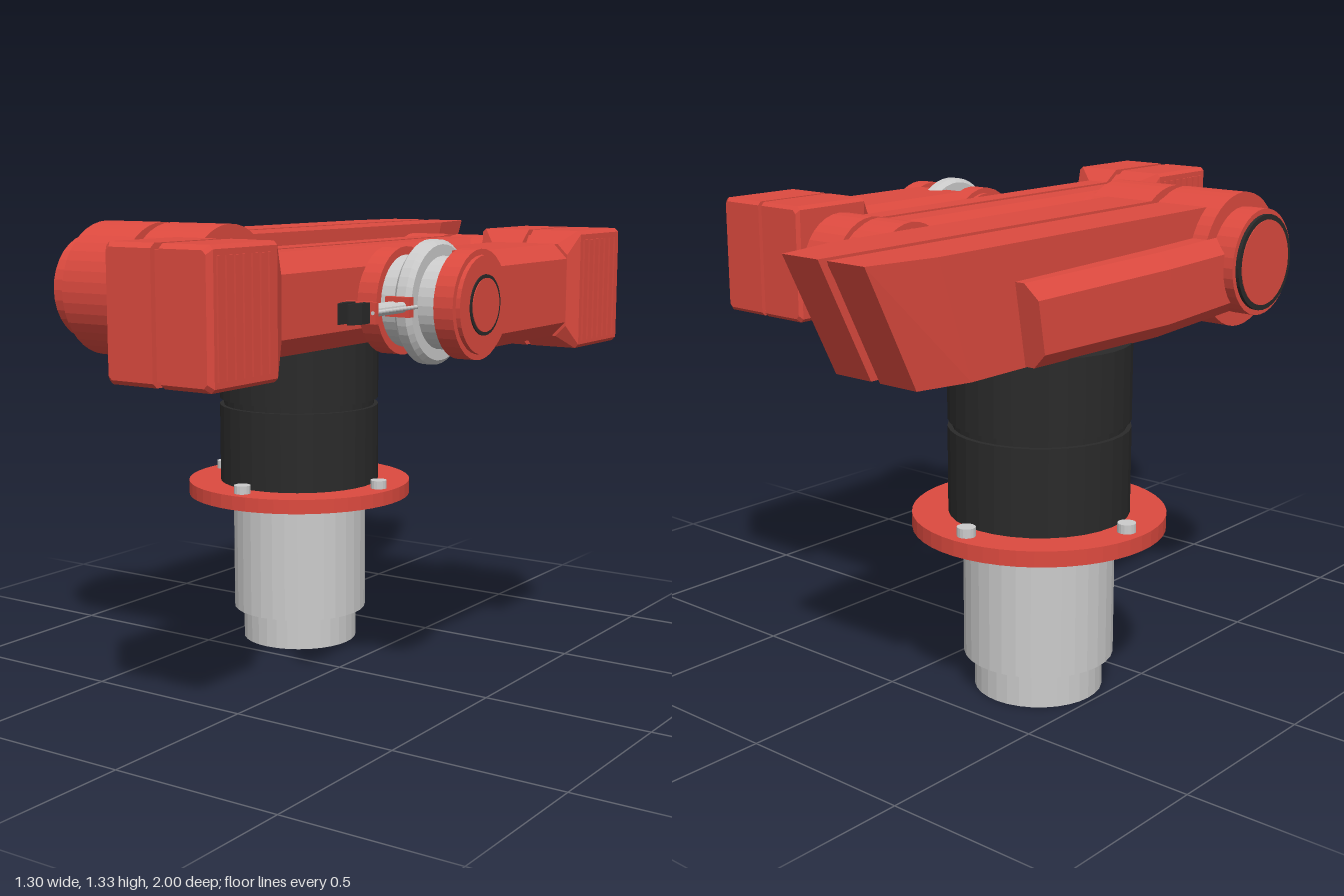
import * as THREE from 'three';

const mat = (color) => new THREE.MeshStandardMaterial({ color, flatShading: true });
const RED = mat(0xdd4a3f), BLACK = mat(0x2a2a2a), GREY = mat(0xcccccc);

function add(parent, name, geometry, material, x = 0, y = 0, z = 0) {
  const mesh = new THREE.Mesh(geometry, material);
  mesh.name = name;
  mesh.position.set(x, y, z);
  parent.add(mesh);
  return mesh;
}

function group(parent, name) {
  const g = new THREE.Group();
  g.name = name;
  parent.add(g);
  return g;
}

// Upright cylinder between two heights
function post(parent, name, material, r, y0, y1, x, z, sides = 32) {
  return add(parent, name, new THREE.CylinderGeometry(r, r, y1 - y0, sides), material, x, (y0 + y1) / 2, z);
}

// Cylinder lying along x
function drum(parent, name, material, r, x0, x1, y, z, sides = 32) {
  const geo = new THREE.CylinderGeometry(r, r, x1 - x0, sides).rotateZ(Math.PI / 2);
  return add(parent, name, geo, material, (x0 + x1) / 2, y, z);
}

// Skin over rings of points, anticlockwise seen from the front, listed front to back
function skin(rings) {
  const n = rings[0].length, index = [];
  for (let s = 0; s < rings.length - 1; s++) {
    for (let i = 0; i < n; i++) {
      const a = s * n + i, b = s * n + (i + 1) % n;
      index.push(a, a + n, b, b, a + n, b + n);
    }
  }
  const last = (rings.length - 1) * n;
  for (let i = 1; i < n - 1; i++) index.push(0, i, i + 1, last, last + i + 1, last + i);
  const geo = new THREE.BufferGeometry();
  geo.setAttribute('position', new THREE.Float32BufferAttribute(rings.flat(2), 3));
  geo.setIndex(index);
  const flat = geo.toNonIndexed();
  flat.computeVertexNormals();
  return flat;
}

// One side of a bevelled beam; each section is [zTop, zBottom, halfWidth, yBottom, yTop, bevel]
function halfBeam(parent, name, cx, inner, side, sections) {
  const rings = sections.map(([zt, zb, w, y0, y1, c]) => {
    const pts = [[inner, y0], [w - c, y0], [w, y0 + c], [w, y1 - c], [w - c, y1], [inner, y1]]
      .map(([x, y]) => [x * side, y, zb + (zt - zb) * (y - y0) / (y1 - y0)]);
    return side > 0 ? pts : pts.reverse();
  });
  add(parent, name, skin(rings), RED, cx);
}

// Mirrored beam, with a recessed core when there is a centre groove
function beam(parent, name, cx, gap, sections) {
  const d = 0.015, last = sections.length - 1;
  for (const side of [1, -1]) halfBeam(parent, name, cx, gap / 2, side, sections);
  if (!gap) return;
  const core = sections.map(([zt, zb, , y0, y1], i) => {
    const dz = i === 0 ? -d : i === last ? 2 * d : 0;
    return [zt + dz, zb + dz, gap, y0 + d, y1 - d, 0];
  });
  for (const side of [1, -1]) halfBeam(parent, name + 'Core', cx, 0, side, core);
}

// Row of upright vent ribs on a side wall
function vents(parent, x, y, h, z0, z1, count = 7) {
  const step = (z1 - z0) / count;
  for (let i = 0; i < count; i++) {
    add(parent, 'ventRib', new THREE.BoxGeometry(0.014, h, step * 0.65), RED, x, y, z0 + (i + 0.5) * step);
  }
}

export function createModel() {
  const model = new THREE.Group();
  model.name = 'robotArm';
  const Y = 1.14, BX = -0.305, BZ = -0.225;

  // Pedestal, mounting flange and turntable
  const base = group(model, 'base');
  post(base, 'foot', GREY, 0.178, 0, 0.11, BX, BZ);
  post(base, 'pedestal', GREY, 0.208, 0.1, 0.47, BX, BZ);
  post(base, 'flange', RED, 0.347, 0.467, 0.51, BX, BZ, 48);
  for (let i = 0; i < 4; i++) {
    const a = i * Math.PI / 2;
    post(base, 'flangeBolt', GREY, 0.025, 0.5, 0.535, BX + 0.297 * Math.cos(a), BZ + 0.297 * Math.sin(a), 16);
  }
  post(base, 'turntableLower', BLACK, 0.248, 0.51, 0.75, BX, BZ);
  post(base, 'turntableGroove', BLACK, 0.235, 0.74, 0.78, BX, BZ);
  post(base, 'turntableUpper', BLACK, 0.248, 0.77, 0.985, BX, BZ);

  // Shoulder: long wedge-ended beam with side cheeks
  const shoulder = group(model, 'shoulder');
  beam(shoulder, 'shoulderBeam', BX, 0.03, [
    [0.36, 0.36, 0.172, 0.98, 1.295, 0],
    [-0.8, -0.69, 0.172, 0.98, 1.295, 0],
    [-1, -0.84, 0.135, 0.98, 1.295, 0],
  ]);
  beam(shoulder, 'shoulderCheek', BX, 0, [
    [0.38, 0.38, 0.26, 1.0, 1.22, 0.04],
    [0, 0, 0.26, 0.982, 1.21, 0.04],
    [-0.53, -0.49, 0.24, 0.982, 1.2, 0.04],
  ]);

  // Shoulder motor
  const SZ = 0.4;
  for (const s of [1, -1]) {
    const ends = (a, b) => [BX + s * a, BX + s * b].sort((p, q) => p - q);
    drum(shoulder, 'motorShell', RED, 0.19, ...ends(0.015, 0.22), Y, SZ, 40);
    drum(shoulder, 'motorCap', RED, 0.15, ...ends(0.2, 0.29), Y, SZ);
    drum(shoulder, 'motorSeal', BLACK, 0.135, ...ends(0.28, 0.3), Y, SZ);
    drum(shoulder, 'motorCover', RED, 0.12, ...ends(0.28, 0.302), Y, SZ);
  }
  drum(shoulder, 'motorGroove', RED, 0.168, BX - 0.03, BX + 0.03, Y, SZ);
  drum(shoulder, 'shoulderShaft', BLACK, 0.07, -0.02, 0.04, Y, SZ);

  // Upper arm: vented housing in front, bevelled beam running back
  const upper = group(model, 'upperArm');
  const UX = 0.16;
  beam(upper, 'upperArmBody', UX, 0.025, [
    [1, 1, 0.15, 0.982, 1.298, 0.01],
    [0.985, 0.985, 0.16, 0.97, 1.31, 0.01],
    [0.74, 0.74, 0.16, 0.97, 1.31, 0.01],
    [0.69, 0.69, 0.135, 1.015, 1.275, 0.05],
    [-0.37, -0.37, 0.135, 1.015, 1.275, 0.05],
  ]);
  for (const s of [1, -1]) vents(upper, UX + s * 0.158, Y, 0.29, 0.75, 0.98);

  // Elbow
  const EZ = -0.37;
  for (const s of [1, -1]) {
    const ends = (a, b) => [UX + s * a, UX + s * b].sort((p, q) => p - q);
    drum(upper, 'elbowShell', RED, 0.14, ...ends(0.0125, 0.138), Y, EZ);
    drum(upper, 'elbowCap', RED, 0.122, ...ends(0.13, 0.152), Y, EZ);
    drum(upper, 'elbowSeal', BLACK, 0.09, ...ends(0.14, 0.157), Y, EZ);
    drum(upper, 'elbowCover', RED, 0.078, ...ends(0.14, 0.159), Y, EZ);
  }
  drum(upper, 'elbowGroove', RED, 0.125, UX - 0.02, UX + 0.02, Y, EZ);
  drum(upper, 'elbowShaft', BLACK, 0.07, 0.3, 0.35, Y, EZ);

  // Forearm: vented housing at the back, bevelled beam running forward
  const fore = group(model, 'forearm');
  const FX = 0.488;
  beam(fore, 'forearmHousing', FX, 0.014, [
    [-0.2, -0.2, 0.133, 1.015, 1.27, 0.03],
    [-0.24, -0.24, 0.154, 0.98, 1.305, 0.01],
    [-0.485, -0.485, 0.154, 0.98, 1.305, 0.01],
    [-0.495, -0.495, 0.146, 0.99, 1.295, 0.01],
  ]);
  beam(fore, 'forearmBeam', FX, 0, [
    [0.245, 0.245, 0.132, 1.015, 1.27, 0.04],
    [-0.22, -0.22, 0.132, 1.015, 1.27, 0.04],
  ]);
  vents(fore, FX + 0.153, Y, 0.28, -0.48, -0.25);

  // Wrist: two fork hubs around a ringed drum
  const wrist = group(model, 'wrist');
  const WZ = 0.295;
  for (const s of [1, -1]) {
    const ends = (a, b) => [FX + s * a, FX + s * b].sort((p, q) => p - q);
    drum(wrist, 'forkHub', RED, 0.14, ...ends(0.083, 0.138), Y, WZ);
    drum(wrist, 'forkCap', RED, 0.125, ...ends(0.13, 0.15), Y, WZ);
    drum(wrist, 'forkSeal', BLACK, 0.077, ...ends(0.14, 0.153), Y, WZ);
    drum(wrist, 'forkCover', RED, 0.068, ...ends(0.14, 0.155), Y, WZ);
  }
  drum(wrist, 'wristDrum', GREY, 0.119, FX - 0.085, FX + 0.085, Y, WZ);
  const ring = [[0, -0.025], [0.148, -0.025], [0.16, -0.013], [0.16, 0.013], [0.148, 0.025], [0, 0.025]]
    .map(([r, h]) => new THREE.Vector2(r, h));
  add(wrist, 'wristRing', new THREE.LatheGeometry(ring, 40).rotateZ(Math.PI / 2), GREY, FX, Y, WZ);

  // Gripper: rods between two plates, and a pair of pointed fingers
  const grip = group(model, 'gripper');
  const rod = (r, dx) => add(grip, 'gripperRod',
    new THREE.CylinderGeometry(r, r, 0.2, 12).rotateX(Math.PI / 2), GREY, FX + dx, Y, 0.54);
  add(grip, 'gripperMount', new THREE.BoxGeometry(0.07, 0.05, 0.02), RED, FX, Y, 0.46);
  add(grip, 'gripperPlate', new THREE.BoxGeometry(0.092, 0.052, 0.012), RED, FX, Y, 0.633);
  for (const s of [1, -1]) {
    rod(0.014, s * 0.014);
    rod(0.005, s * 0.038);
    const tip = new THREE.Shape([[0, 0], [0.018, 0], [0.018, 0.035], [0.004, 0.072], [0, 0.072]]
      .map(([x, z]) => new THREE.Vector2(x, z)));
    const finger = new THREE.ExtrudeGeometry(tip, { depth: 0.05, bevelEnabled: false })
      .rotateX(Math.PI / 2).translate(0, 0.025, 0);
    if (s < 0) finger.rotateZ(Math.PI);
    add(grip, 'finger', finger, BLACK, FX + s * 0.012, Y, 0.638);
  }
  return model;
}
